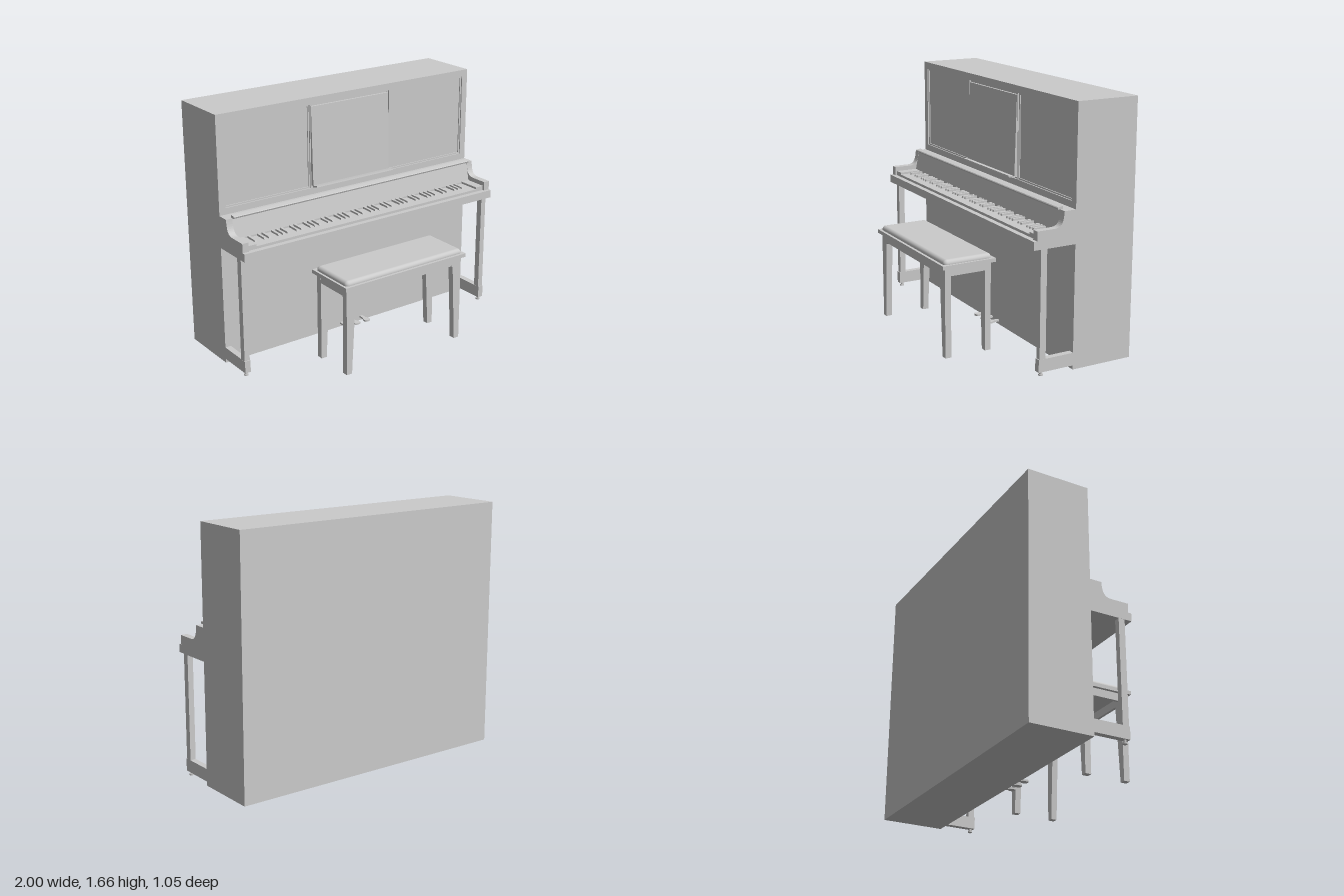
import * as THREE from 'three';
import { RoundedBoxGeometry } from 'three/addons/geometries/RoundedBoxGeometry.js';

const material = new THREE.MeshStandardMaterial({ color: 0xcccccc });

function add(parent, name, geometry) {
  const mesh = new THREE.Mesh(geometry, material);
  mesh.name = name;
  parent.add(mesh);
  return mesh;
}

// Box given by its limits on each axis
function box(parent, name, x0, x1, y0, y1, z0, z1) {
  const mesh = add(parent, name, new THREE.BoxGeometry(x1 - x0, y1 - y0, z1 - z0));
  mesh.position.set((x0 + x1) / 2, (y0 + y1) / 2, (z0 + z1) / 2);
  return mesh;
}

const polygon = (points) => new THREE.Shape(points.map(([x, y]) => new THREE.Vector2(x, y)));
const rect = (x0, x1, y0, y1) => polygon([[x0, y0], [x1, y0], [x1, y1], [x0, y1]]);
const extrude = (shape, depth) =>
  new THREE.ExtrudeGeometry(shape, { depth, bevelEnabled: false, curveSegments: 10 });

// Extrudes a (z, y) side profile along x, from x0 to x1
function sideProfile(parent, name, shape, x0, x1) {
  const geometry = extrude(shape, x1 - x0);
  geometry.rotateY(-Math.PI / 2);
  geometry.translate(x1, 0, 0);
  return add(parent, name, geometry);
}

function buildCase(parent) {
  const g = new THREE.Group();
  g.name = 'case';
  parent.add(g);
  box(g, 'body', -1, 1, 0, 1.665, -0.525, -0.115);

  // Front face with three recessed panels, each edged by a half-height moulding
  const face = rect(-1, 1, 0, 1.665);
  const bays = [[-0.955, -0.32], [-0.315, 0.315], [0.32, 0.955]];
  for (const [x0, x1] of bays) {
    face.holes.push(rect(x0, x1, 1.06, 1.618));
    const ring = rect(x0, x1, 1.06, 1.618);
    ring.holes.push(rect(x0 + 0.01, x1 - 0.01, 1.07, 1.608));
    add(g, 'panelMoulding', extrude(ring, 0.007)).position.z = -0.115;
  }
  add(g, 'frontFace', extrude(face, 0.015)).position.z = -0.115;

  // Tilted music desk with its ledge
  sideProfile(g, 'musicDesk',
    polygon([[-0.115, 1.075], [-0.085, 1.075], [-0.1, 1.605], [-0.115, 1.605]]), -0.308, 0.308);
  sideProfile(g, 'musicLedge',
    polygon([[-0.09, 1.07], [-0.085, 1.068], [-0.04, 1.079], [-0.042, 1.088], [-0.09, 1.079]]), -0.31, 0.31);
}

function buildKeyboard(parent) {
  const g = new THREE.Group();
  g.name = 'keyboard';
  parent.add(g);
  box(g, 'keybed', -1, 1, 0.803, 0.857, -0.1, 0.19);

  // Scrolled cheeks at both ends
  const cheek = new THREE.Shape();
  cheek.moveTo(-0.1, 0.857);
  cheek.lineTo(0.168, 0.857);
  cheek.lineTo(0.168, 0.918);
  cheek.lineTo(0.045, 0.918);
  cheek.bezierCurveTo(-0.005, 0.92, -0.015, 0.955, -0.02, 1.017);
  cheek.lineTo(-0.1, 1.017);
  sideProfile(g, 'rightCheek', cheek, -1, -0.955);
  sideProfile(g, 'leftCheek', cheek, 0.955, 1);

  // Fallboard and shelf behind the keys
  sideProfile(g, 'fallboard',
    polygon([[-0.1, 0.857], [0.003, 0.857], [0.003, 0.885], [-0.024, 1.017], [-0.1, 1.017]]), -0.955, 0.955);
  sideProfile(g, 'fallboardLip',
    polygon([[-0.035, 1.017], [-0.004, 1.017], [0, 1.027], [-0.004, 1.032], [-0.035, 1.036]]), -0.955, 0.955);

  for (const s of [-1, 1]) {
    box(g, 'keyBlock', Math.min(s * 0.893, s * 0.955), Math.max(s * 0.893, s * 0.955), 0.857, 0.888, 0, 0.155);
  }
  box(g, 'whiteKeys', -0.893, 0.893, 0.857, 0.874, 0, 0.155);

  // Black keys: 52 white keys from A, with no black key above B or E
  const step = 1.786 / 52;
  for (let i = 1; i < 52; i++) {
    if (i % 7 === 2 || i % 7 === 5) continue;
    const x = -0.893 + i * step;
    sideProfile(g, 'blackKey',
      polygon([[0, 0.87], [0.095, 0.87], [0.088, 0.886], [0, 0.888]]), x - 0.008, x + 0.008);
  }
}

function buildSupports(parent) {
  for (const s of [-1, 1]) {
    const g = new THREE.Group();
    g.name = s < 0 ? 'rightSupport' : 'leftSupport';
    g.position.x = s * 0.98;
    parent.add(g);
    box(g, 'frontLeg', -0.019, 0.019, 0.11, 0.803, 0.097, 0.14);
    box(g, 'toeBlock', -0.02, 0.02, 0.027, 0.11, -0.1, 0.146);
    // Caster: stem and wheel
    const stem = add(g, 'casterStem', new THREE.CylinderGeometry(0.009, 0.009, 0.02, 12));
    stem.position.set(0, 0.02, 0.12);
    const wheel = add(g, 'casterWheel', new THREE.CylinderGeometry(0.015, 0.015, 0.01, 12));
    wheel.position.set(0, 0.006, 0.12);
  }
  // Pedals: narrow stem widening to a rounded toe
  const pedal = new THREE.Shape();
  pedal.moveTo(-0.01, 0);
  pedal.lineTo(-0.012, -0.045);
  pedal.quadraticCurveTo(-0.024, -0.06, -0.022, -0.085);
  pedal.quadraticCurveTo(0, -0.1, 0.022, -0.085);
  pedal.quadraticCurveTo(0.024, -0.06, 0.012, -0.045);
  pedal.lineTo(0.01, 0);
  for (const x of [-0.085, 0, 0.085]) {
    const geometry = extrude(pedal, 0.012);
    geometry.rotateX(-Math.PI / 2);
    add(parent, 'pedal', geometry).position.set(x, 0.021, -0.105);
  }
}

function buildBench(parent) {
  const g = new THREE.Group();
  g.name = 'bench';
  parent.add(g);
  box(g, 'seatBoard', -0.485, 0.485, 0.59, 0.615, 0.15, 0.525);
  const pad = add(g, 'seatCushion', new RoundedBoxGeometry(0.94, 0.054, 0.338, 4, 0.026));
  pad.position.set(0, 0.618, 0.338);

  // Apron boards
  for (const z of [0.178, 0.482]) box(g, 'longApron', -0.463, 0.463, 0.537, 0.59, z, z + 0.018);
  for (const x of [-0.463, 0.445]) box(g, 'shortApron', x, x + 0.018, 0.537, 0.59, 0.18, 0.498);

  // Legs straight outside, tapered inside with a small shoulder
  const profile = [[0.425, 0], [0.465, 0], [0.465, 0.59], [0.385, 0.59], [0.385, 0.54], [0.396, 0.528]];
  for (const s of [-1, 1]) {
    const leg = polygon(profile.map(([x, y]) => [s * x, y]));
    for (const z of [0.176, 0.46]) add(g, 'benchLeg', extrude(leg, 0.042)).position.z = z;
  }
}

export function createModel() {
  const model = new THREE.Group();
  model.name = 'uprightPianoWithBench';
  buildCase(model);
  buildKeyboard(model);
  buildSupports(model);
  buildBench(model);
  return model;
}
